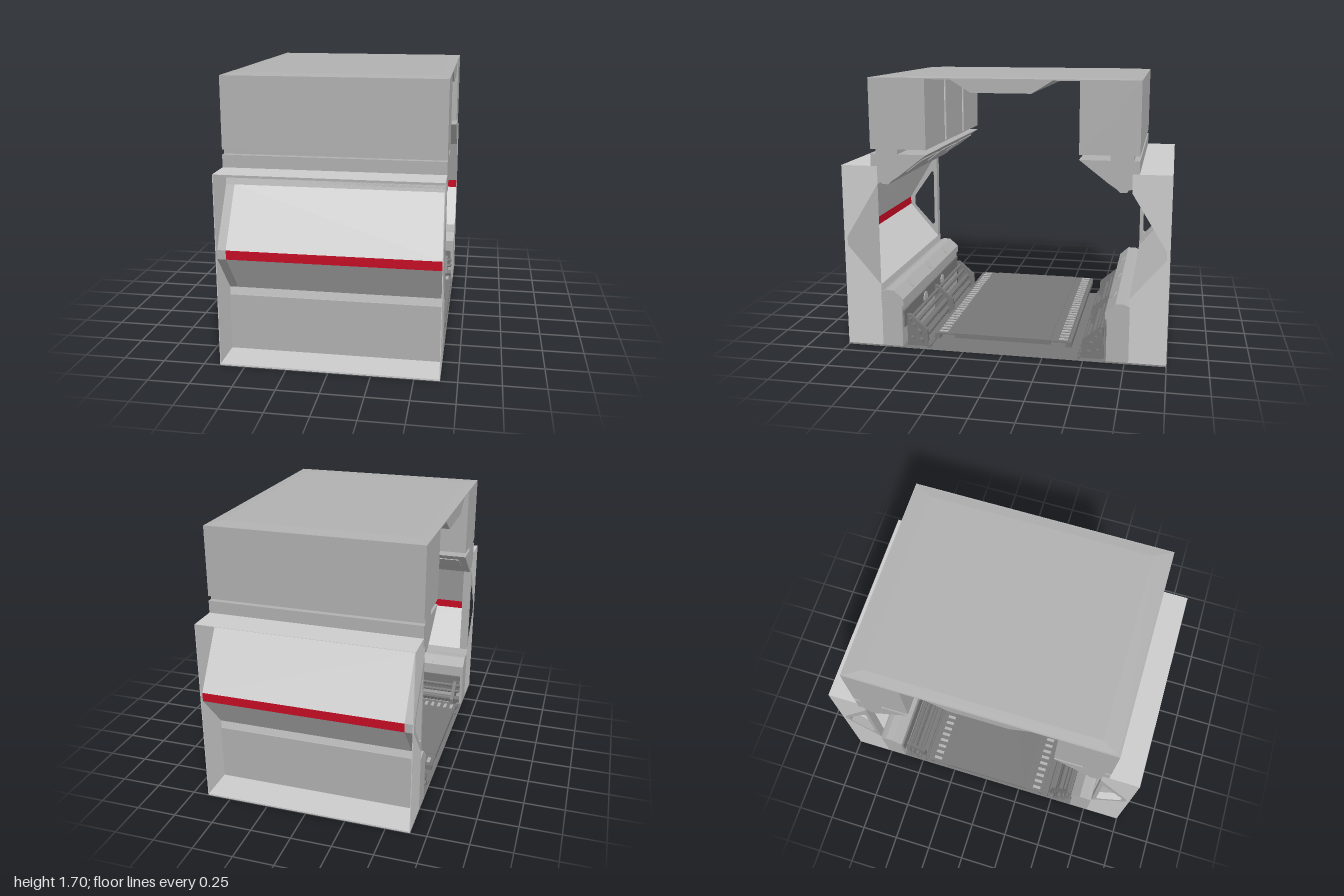
import * as THREE from 'three';

const HALF = 0.65; // half length of the corridor section along x

const paint = (color, side = THREE.FrontSide) =>
  new THREE.MeshStandardMaterial({ color, side, flatShading: true });
const LIGHT = paint(0xcccccc);
const SHEET = paint(0xcccccc, THREE.DoubleSide);
const MID = paint(0xb0b0b0);
const DARK = paint(0x777777);
const RED = paint(0xc40c24, THREE.DoubleSide);

function add(group, name, geometry, material) {
  const mesh = new THREE.Mesh(geometry, material);
  mesh.name = name;
  group.add(mesh);
  return mesh;
}

// Shape in the (z, y) plane; s = -1 mirrors it to the back wall
const section = (pts, s) => new THREE.Shape(pts.map(([z, y]) => new THREE.Vector2(z * s, y)));

// Solid with a (z, y) cross-section running from x0 to x1
function prism(pts, s, x0 = -HALF, x1 = HALF, hole = null) {
  const shape = section(pts, s);
  if (hole) shape.holes.push(section(hole, s));
  const g = new THREE.ExtrudeGeometry(shape, { depth: x1 - x0, bevelEnabled: false });
  return g.rotateY(-Math.PI / 2).translate(x1, 0, 0);
}

// Thin sheet following a (z, y) polyline from x0 to x1
function sheet(pts, s, x0 = -HALF, x1 = HALF) {
  const pos = [];
  for (let i = 0; i < pts.length - 1; i++) {
    const [za, ya] = pts[i], [zb, yb] = pts[i + 1];
    const a = [x0, ya, za * s], b = [x1, ya, za * s], c = [x1, yb, zb * s], d = [x0, yb, zb * s];
    const order = s > 0 ? [a, c, b, a, d, c] : [a, b, c, a, c, d];
    pos.push(...order.flat());
  }
  const g = new THREE.BufferGeometry();
  g.setAttribute('position', new THREE.Float32BufferAttribute(pos, 3));
  g.computeVertexNormals();
  return g;
}

function box(x0, x1, y0, y1, z0, z1) {
  return new THREE.BoxGeometry(x1 - x0, y1 - y0, Math.abs(z1 - z0))
    .translate((x0 + x1) / 2, (y0 + y1) / 2, (z0 + z1) / 2);
}

// Cross-sections, given for the front wall
const BULGE = [[0.77, 1.05], [0.98, 0.71], [0.98, 0.655], [0.77, 0.41]];
const BULGE_HOLE = [[0.795, 0.91], [0.81, 0.91], [0.945, 0.72], [0.945, 0.65], [0.81, 0.5], [0.795, 0.51]];
const END_PLATE = [[1, 0.01], [1, 1.16], [0.77, 1.16], ...BULGE, [0.77, 0.01]];
const COLUMN = [[0.775, 0.01], [0.775, 0.36], [0.74, 0.375], [0.69, 0.375], [0.63, 0.32],
  [0.63, 0.275], [0.64, 0.275], [0.64, 0.01]];
const CABINET = [[0.81, 1.69], [0.81, 1.265], [0.775, 1.265], [0.775, 1.235], [0.81, 1.235],
  [0.81, 1.1], [0.77, 1.1], [0.77, 1.07], [0.75, 1.065], [0.74, 1.05], [0.7, 1.05], [0.68, 1.07],
  [0.635, 1.1], [0.46, 1.235], [0.64, 1.235], [0.64, 1.265], [0.46, 1.265], [0.46, 1.69]];
const BRACKET = [[0.62, 0.005], [0.62, 0.21], [0.6, 0.21], [0.49, 0.115], [0.485, 0.035],
  [0.465, 0.02], [0.465, 0.005]];
const PIPES = [[0.6, 0.18, 0.012], [0.575, 0.145, 0.012], [0.545, 0.1, 0.02], [0.53, 0.045, 0.018],
  [0.585, 0.06, 0.012], [0.475, 0.015, 0.01]];

function sideWall(s) {
  const wall = new THREE.Group();
  wall.name = s > 0 ? 'frontWall' : 'backWall';
  const frameX = -0.595;

  // Outer shell: ledges, end plates and the bulging panels
  add(wall, 'topLedge', sheet([[1, 1.16], [0.77, 1.16], [0.77, 1.05]], s), SHEET);
  add(wall, 'bottomLedge', sheet([[0.77, 0.41], [0.77, 0.01], [1, 0.01], [1, 0]], s), SHEET);
  for (const x of [-HALF, HALF - 0.004])
    add(wall, 'endPlate', prism(END_PLATE, s, x, x + 0.004), LIGHT);
  add(wall, 'upperPanel', sheet(BULGE.slice(0, 2), s, frameX), SHEET);
  add(wall, 'redStripe', sheet(BULGE.slice(1, 3), s, frameX), RED);
  add(wall, 'lowerPanel', sheet(BULGE.slice(2), s, frameX), SHEET);
  add(wall, 'bulgeFrame', prism(BULGE, s, -HALF, frameX, BULGE_HOLE), MID);
  if (s > 0) {
    const cap = new THREE.ShapeGeometry(section(BULGE, -1));
    add(wall, 'bulgeCap', cap.rotateY(Math.PI / 2).translate(HALF, 0, 0), MID);
  }

  // Upper cabinet with ribs on its inner face and plates on its slope
  add(wall, 'cabinet', prism(CABINET, s), MID);
  for (const x of [-0.22, 0.22])
    add(wall, 'cabinetRib', box(x - 0.012, x + 0.012, 1.275, 1.68, 0.455 * s, 0.462 * s), LIGHT);
  for (const x of [-0.43, 0, 0.43])
    add(wall, 'slopePlate', prism([[0.5, 1.2], [0.6, 1.125], [0.597, 1.121], [0.497, 1.196]], s, x - 0.17, x + 0.17), MID);

  // Lower column with round covers on its chamfer and face
  add(wall, 'column', prism(COLUMN, s), MID);
  add(wall, 'columnRail', box(-0.63, 0.63, 0.13, 0.24, 0.63 * s, 0.642 * s), DARK);
  for (const x of [-0.4, 0, 0.4]) {
    const cover = add(wall, 'roundCover', new THREE.CylinderGeometry(0.03, 0.03, 0.008, 20), MID);
    cover.position.set(x, 0.3475, 0.66 * s);
    cover.rotation.x = -0.83 * s;
  }
  for (const x of [-0.2, 0.2]) {
    const cover = add(wall, 'portCover', new THREE.CylinderGeometry(0.04, 0.04, 0.012, 20), MID);
    cover.position.set(x, 0.185, 0.63 * s);
    cover.rotation.x = Math.PI / 2;
  }

  // Pipe rack
  for (const x of [-0.6, 0, 0.6])
    add(wall, 'pipeBracket', prism(BRACKET, s, x - 0.012, x + 0.012), DARK);
  for (const [z, y, r] of PIPES) {
    const pipe = add(wall, 'pipe', new THREE.CylinderGeometry(r, r, 1.28, 10), DARK);
    pipe.rotation.z = Math.PI / 2;
    pipe.position.set(0, y, z * s);
  }
  return wall;
}

function walkway() {
  const g = new THREE.Group();
  g.name = 'walkway';
  add(g, 'deck', box(-HALF, HALF, 0.09, 0.12, -0.3, 0.3), DARK);
  for (const s of [1, -1]) {
    add(g, 'deckLip', box(-HALF, HALF, 0.108, 0.117, 0.29 * s, 0.41 * s), DARK);
    add(g, 'deckHook', box(-HALF, HALF, 0.08, 0.113, 0.395 * s, 0.43 * s), DARK);
    for (let i = 0; i < 28; i++) {
      const x = -0.62 + i * 0.0459;
      add(g, 'gripSlat', box(x - 0.01, x + 0.01, 0.113, 0.122, 0.35 * s, 0.405 * s), MID);
    }
  }
  return g;
}

function ceiling() {
  const g = new THREE.Group();
  g.name = 'ceiling';
  add(g, 'roofPlate', box(-HALF, HALF, 1.686, 1.693, -0.81, 0.81), MID);
  // Slightly crowned roof skin
  const crown = box(-HALF, HALF, 1.692, 1.7, -0.81, 0.81);
  const p = crown.attributes.position;
  for (let i = 0; i < p.count; i++)
    if (p.getY(i) > 1.696) p.setXYZ(i, p.getX(i) * 0.9, 1.7, p.getZ(i) * 0.86);
  crown.computeVertexNormals();
  add(g, 'roofSkin', crown, MID);
  add(g, 'ceilingDuct', prism([[0.31, 1.69], [0.18, 1.61], [-0.18, 1.61], [-0.31, 1.69]], 1), MID);
  return g;
}

export function createModel() {
  const model = new THREE.Group();
  model.name = 'corridorSection';
  add(model, 'basePlate', sheet([[-1, 0], [1, 0]], 1), paint(0x777777, THREE.DoubleSide));
  model.add(sideWall(1), sideWall(-1), walkway(), ceiling());
  return model;
}
